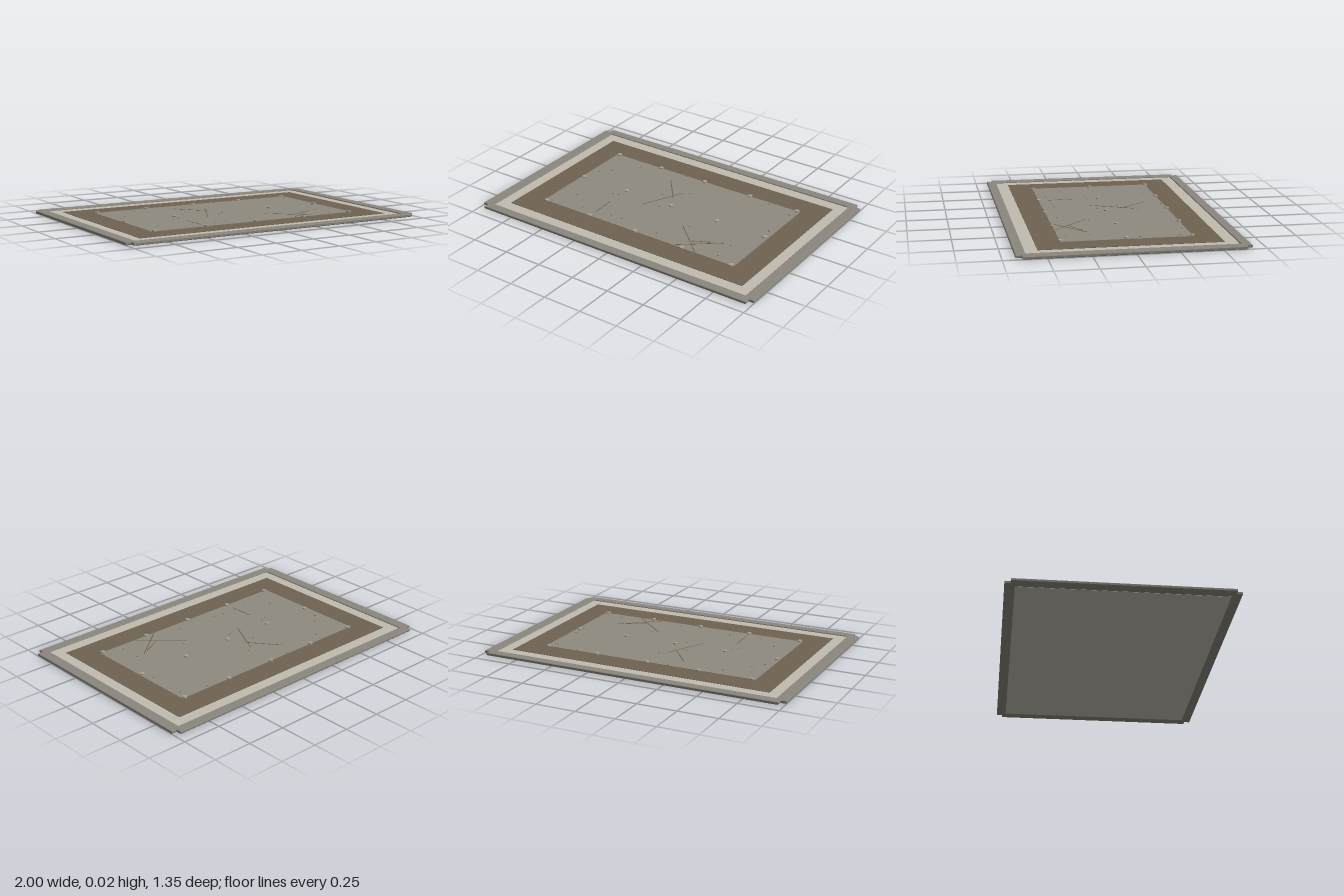
import * as THREE from 'three';

const mat = (name, color) => {
  const m = new THREE.MeshStandardMaterial({ color });
  m.name = name;
  return m;
};

export function createModel() {
  const group = new THREE.Group();
  const stone = mat('grey stone', 0x8f8a80);
  const frameStone = mat('frame stone', 0x8c877d);
  const pale = mat('pale stone', 0xc2bcb1);
  const earth = mat('brown inlay', 0x6f6452);
  const studStone = mat('stud stone', 0xa8a297);

  const add = (name, geometry, material, x = 0, y = 0, z = 0) => {
    const mesh = new THREE.Mesh(geometry, material);
    mesh.name = name;
    mesh.position.set(x, y, z);
    group.add(mesh);
    return mesh;
  };
  // Box given by its half extents and its bottom and top heights
  const slab = (name, hx, hz, y0, y1, material) =>
    add(name, new THREE.BoxGeometry(hx * 2, y1 - y0, hz * 2), material, 0, (y0 + y1) / 2, 0);

  // Kerb frame: notched rectangle with an opening and a fine bevel
  const corners = [];
  for (const [sx, sz] of [[1, 1], [-1, 1], [-1, -1], [1, -1]]) {
    const c = [[1, 0.64], [0.965, 0.64], [0.965, 0.675]].map(([x, z]) => new THREE.Vector2(x * sx, z * sz));
    corners.push(...(sx * sz > 0 ? c : c.reverse()));
  }
  const outline = new THREE.Shape(corners);
  const opening = [[-0.93, -0.615], [-0.93, 0.615], [0.93, 0.615], [0.93, -0.615]];
  outline.holes.push(new THREE.Path(opening.map(([x, z]) => new THREE.Vector2(x, z))));
  const bevel = 0.003;
  const frame = new THREE.ExtrudeGeometry(outline, {
    depth: 0.017 - 2 * bevel, bevelSize: bevel, bevelThickness: bevel, bevelOffset: -bevel, bevelSegments: 1,
  });
  frame.rotateX(-Math.PI / 2);
  add('frame', frame, frameStone, 0, bevel, 0);

  // Floor layers, each a little higher than the one around it
  slab('paleBase', 0.93, 0.615, 0, 0.011, pale);
  slab('brownBorder', 0.86, 0.54, 0.011, 0.0125, earth);
  slab('centrePanel', 0.71, 0.39, 0.0125, 0.014, stone);

  // Flat studs in a five by three grid
  const stud = new THREE.CylinderGeometry(0.0145, 0.0145, 0.009, 8);
  for (let i = -2; i <= 2; i++)
    for (let j = -1; j <= 1; j++) add('stud', stud, studStone, i * 0.345, 0.017, j * 0.388);

  // Cracks: thin strips from point to point
  const cracks = [
    [-0.2, -0.285, -0.053, -0.1], [-0.03, -0.18, -0.16, 0.083], [-0.35, 0.17, -0.345, 0.33],
    [0.2, 0.165, 0.435, 0.385], [0.52, 0.2, 0.285, 0.385], [0.345, 0.29, 0.47, 0.225],
  ];
  for (const [x0, z0, x1, z1] of cracks) {
    const g = new THREE.BoxGeometry(Math.hypot(x1 - x0, z1 - z0), 0.001, 0.006);
    const crack = add('crack', g, earth, (x0 + x1) / 2, 0.0145, (z0 + z1) / 2);
    crack.rotation.y = -Math.atan2(z1 - z0, x1 - x0);
  }

  // Small chips scattered over the panel
  const chip = new THREE.CylinderGeometry(0.006, 0.006, 0.001, 6);
  const chips = [
    [-0.14, -0.38], [-0.47, -0.32], [-0.6, -0.18], [-0.66, -0.12], [0.5, -0.37], [0.01, -0.2],
    [-0.13, -0.09], [-0.06, 0.05], [-0.4, 0.08], [-0.36, 0.07], [-0.58, 0.22], [-0.45, 0.33],
    [-0.24, 0.31], [-0.16, 0.31], [0.12, 0.33], [0.24, 0.15], [0.57, 0.34], [0.57, 0.2],
    [0.67, -0.08], [0.67, 0.01], [0.67, -0.32],
  ];
  for (const [x, z] of chips) add('chip', chip, earth, x, 0.0145, z);

  return group;
}
